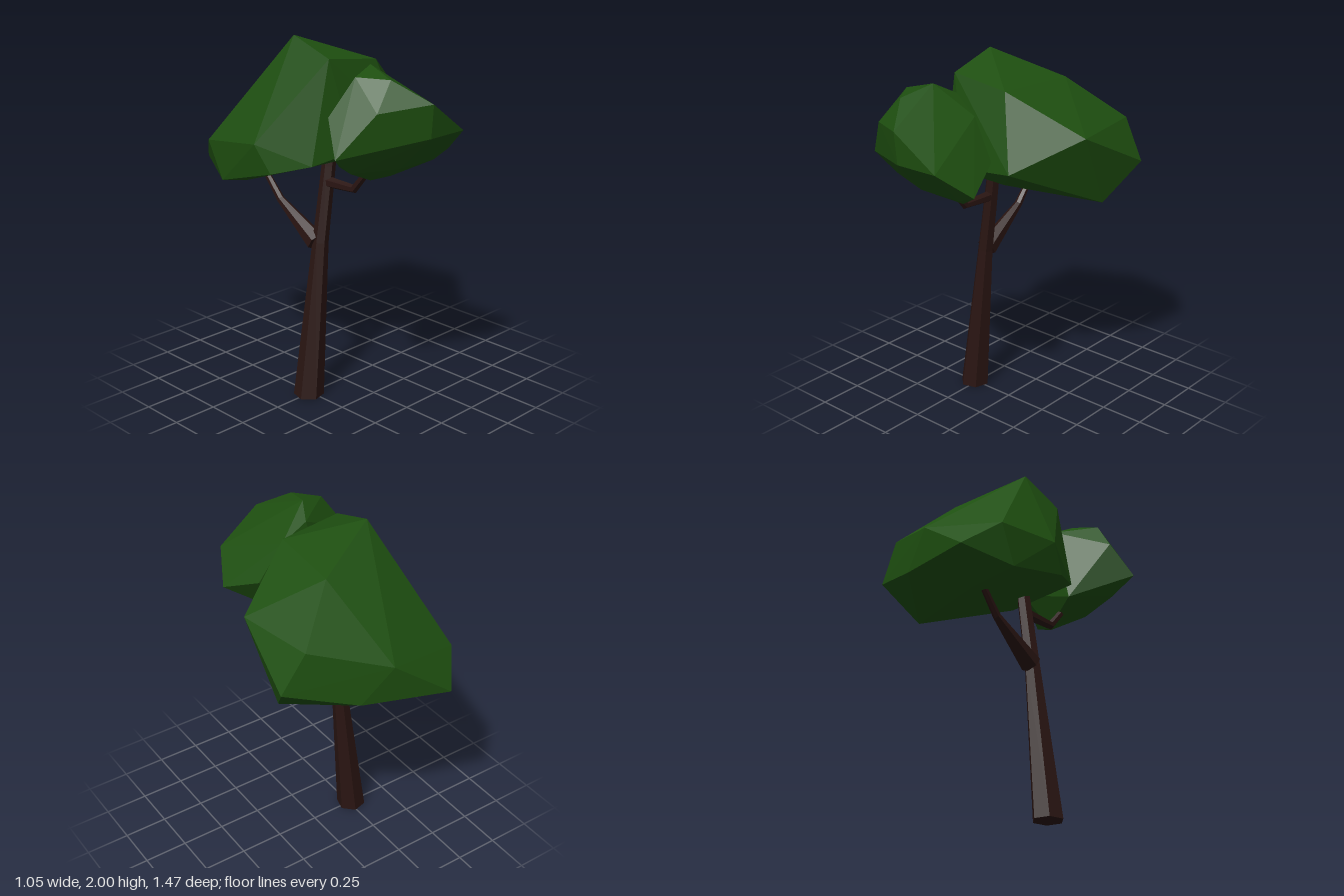
import * as THREE from 'three';
import { ConvexGeometry } from 'three/addons/geometries/ConvexGeometry.js';

const bark = new THREE.MeshStandardMaterial({ color: 0x2a1512, flatShading: true });
const leaves = new THREE.MeshStandardMaterial({ color: 0x1e4f10, flatShading: true });

// Faceted limb: rings of `sides` corners at each [x, y, z, radius], capped at both ends
function limb(name, path, turn, sides = 6) {
  const centres = path.map(([x, y, z]) => new THREE.Vector3(x, y, z));
  const pos = [], index = [];
  const across = new THREE.Vector3(1, 0, 0);
  centres.forEach((c, i) => {
    const dir = centres[Math.min(i + 1, path.length - 1)].clone()
      .sub(centres[Math.max(i - 1, 0)]).normalize();
    if (i === 0 && c.y === 0) dir.set(0, 1, 0); // flat foot on the ground
    const v = dir.clone().cross(across).normalize();
    const u = v.clone().cross(dir);
    for (let j = 0; j < sides; j++) {
      const a = (j / sides) * Math.PI * 2 + turn;
      const p = c.clone().addScaledVector(u, Math.cos(a) * path[i][3])
        .addScaledVector(v, Math.sin(a) * path[i][3]);
      pos.push(p.x, p.y, p.z);
    }
  });
  const last = (path.length - 1) * sides;
  for (let j = 0; j < sides; j++) {
    const k = (j + 1) % sides;
    for (let r = 0; r < last; r += sides) {
      index.push(r + j, r + k, r + sides + j, r + k, r + sides + k, r + sides + j);
    }
    if (j > 0 && k > 0) index.push(0, k, j, last, last + j, last + k);
  }
  const indexed = new THREE.BufferGeometry();
  indexed.setAttribute('position', new THREE.Float32BufferAttribute(pos, 3));
  indexed.setIndex(index);
  const geo = indexed.toNonIndexed();
  geo.computeVertexNormals();
  const mesh = new THREE.Mesh(geo, bark);
  mesh.name = name;
  return mesh;
}

// Faceted foliage clump: the hull of a few corner points
function clump(name, corners) {
  const mesh = new THREE.Mesh(
    new ConvexGeometry(corners.map((c) => new THREE.Vector3(...c))), leaves);
  mesh.name = name;
  return mesh;
}

export function createModel() {
  const tree = new THREE.Group();
  tree.name = 'tree';

  // Leaning trunk and its two branches
  tree.add(limb('trunk', [
    [-0.265, 0, 0, 0.084], [-0.17, 0.88, 0.002, 0.044], [-0.11, 1.3, 0.006, 0.038], [-0.095, 1.45, 0.01, 0.034],
  ], -Math.PI / 4));
  tree.add(limb('backBranch', [
    [-0.18, 0.878, -0.02, 0.057], [-0.185, 1.06, -0.3, 0.022], [-0.19, 1.26, -0.47, 0.015],
  ], Math.PI / 6));
  tree.add(limb('frontBranch', [
    [-0.122, 1.213, 0, 0.033], [-0.125, 1.217, 0.215, 0.024], [-0.125, 1.37, 0.345, 0.018],
  ], Math.PI / 6));

  // Large crown over the trunk and back branch
  tree.add(clump('largeCrown', [
    [-0.235, 2, -0.12], [-0.245, 1.91, 0.15], [0.1, 1.867, 0.147], [0.14, 1.865, -0.3],
    [0.467, 1.64, -0.06], [0.4, 1.645, -0.505], [0.527, 1.43, -0.48], [0.22, 1.47, 0.258],
    [-0.01, 1.5, -0.677], [0.155, 1.31, -0.63], [-0.335, 1.257, -0.737], [-0.463, 1.4, -0.57],
    [-0.455, 1.19, -0.47], [-0.23, 1.13, -0.53], [0.42, 1.22, -0.285], [-0.48, 1.45, -0.17],
    [-0.45, 1.3, -0.078], [-0.35, 1.363, 0.13], [-0.125, 1.42, 0.217], [0.1, 1.363, 0.15],
  ]));

  // Small crown on the front branch
  tree.add(clump('smallCrown', [
    [-0.18, 1.908, 0.378], [-0.33, 1.87, 0.42], [-0.23, 1.862, 0.563], [-0.125, 1.846, 0.265],
    [-0.108, 1.75, 0.735], [-0.105, 1.575, 0.72], [0.145, 1.575, 0.715], [-0.36, 1.72, 0.597],
    [-0.527, 1.5, 0.48], [-0.455, 1.68, 0.36], [-0.25, 1.363, 0.23], [0.015, 1.75, 0.282],
    [0.15, 1.54, 0.31], [0.24, 1.43, 0.54], [0, 1.293, 0.36], [-0.155, 1.3, 0.36],
    [-0.39, 1.4, 0.45], [-0.13, 1.39, 0.535], [0.13, 1.39, 0.535],
  ]));
  return tree;
}
